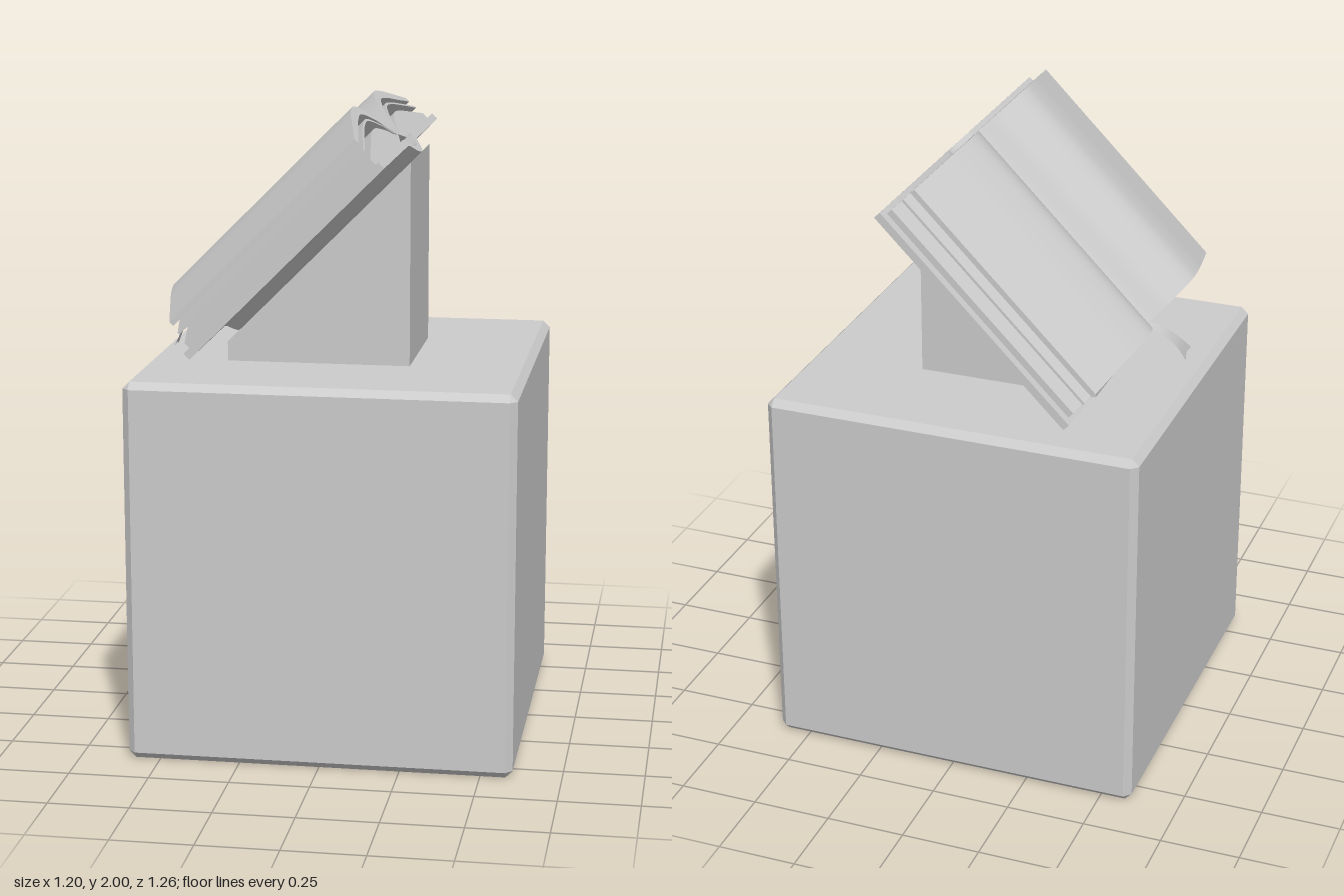
import * as THREE from 'three';
import { toCreasedNormals } from 'three/addons/utils/BufferGeometryUtils.js';
import { ConvexGeometry } from 'three/addons/geometries/ConvexGeometry.js';

const grey = new THREE.MeshStandardMaterial({ color: 0xcccccc });
const thin = new THREE.MeshStandardMaterial({ color: 0xcccccc, side: THREE.DoubleSide });

function addMesh(parent, name, geometry, material = grey) {
  const mesh = new THREE.Mesh(geometry, material);
  mesh.name = name;
  parent.add(mesh);
  return mesh;
}

const vec2 = (points) => points.map(([a, b]) => new THREE.Vector2(a, b));
const smooth = (points, n = 28) => new THREE.SplineCurve(vec2(points)).getPoints(n);

// Cube with every edge cut at 45 degrees
function chamferedBox(half, cut) {
  const points = [];
  const inner = half - cut;
  for (const x of [-1, 1]) for (const y of [-1, 1]) for (const z of [-1, 1]) {
    points.push(
      new THREE.Vector3(x * half, y * inner, z * inner),
      new THREE.Vector3(x * inner, y * half, z * inner),
      new THREE.Vector3(x * inner, y * inner, z * half));
  }
  return new ConvexGeometry(points);
}

// Extrudes a cross-section (z, height) along the book's length (x)
function alongBook(profile, length, side = 1) {
  const shape = new THREE.Shape(profile.map((p) => new THREE.Vector2(-side * p.x, p.y)));
  const geometry = new THREE.ExtrudeGeometry(shape, { depth: length, bevelEnabled: false });
  geometry.translate(0, 0, -length / 2).rotateY(Math.PI / 2);
  return toCreasedNormals(geometry, 0.6);
}

// Strip between a left and a right edge curve
function ribbonGeometry(left, right, n) {
  const curves = [left, right].map((e) =>
    new THREE.CatmullRomCurve3(e.map((p) => new THREE.Vector3(...p))));
  const positions = [], index = [];
  for (let i = 0; i <= n; i++) {
    const a = curves[0].getPoint(i / n), b = curves[1].getPoint(i / n);
    const mid = a.clone().lerp(b, 0.5);
    // forked tip
    if (i === n) mid.lerp(curves[0].getPoint(1 - 2 / n).lerp(curves[1].getPoint(1 - 2 / n), 0.5), 0.5);
    for (const p of [a, mid, b]) positions.push(p.x, p.y, p.z);
    if (i < n) for (const k of [0, 1]) {
      const j = i * 3 + k;
      index.push(j, j + 1, j + 3, j + 1, j + 4, j + 3);
    }
  }
  const geometry = new THREE.BufferGeometry();
  geometry.setAttribute('position', new THREE.Float32BufferAttribute(positions, 3));
  geometry.setIndex(index);
  geometry.computeVertexNormals();
  return geometry;
}

export function createModel() {
  const model = new THREE.Group();
  model.name = 'bookOnPedestal';

  // Pedestal block
  addMesh(model, 'pedestal', chamferedBox(0.6, 0.022)).position.y = 0.6;

  // Sloped support
  const wedge = new THREE.Shape(vec2([[-0.345, 1.2], [0.23, 1.2], [0.23, 1.835], [-0.345, 1.26]]));
  const wedgeGeometry = new THREE.ExtrudeGeometry(wedge, { depth: 0.456, bevelEnabled: false });
  addMesh(model, 'wedgeSupport', wedgeGeometry.translate(0, 0, -0.228));

  // Open book, built flat and then tilted
  const book = new THREE.Group();
  book.name = 'book';
  book.position.set(-0.0575, 1.5475, 0);
  book.rotation.z = Math.PI / 4;
  model.add(book);

  // Cover with a rounded spine dip
  const under = [[0.1, 0.042], [0.08, 0.036], [0.05, 0.014], [0.025, 0.003], [0, 0]];
  const half = [[0.628, 0.042], ...under];
  const bottom = [...half, ...half.slice(0, -1).reverse().map(([z, y]) => [-z, y])];
  const top = bottom.map(([z, y]) => [z, y + 0.025]).reverse();
  addMesh(book, 'cover', alongBook(vec2([...bottom, ...top]), 0.828));

  // Three layers of pages per side, fanning out of the gutter
  const layers = [
    ['lowerPages',
      [[0, 0.09], [0.05, 0.1], [0.1, 0.122], [0.2, 0.15], [0.3, 0.147], [0.42, 0.125], [0.6, 0.088]],
      [[0.6, 0.066], [0.07, 0.066]]],
    ['loosePage',
      [[0, 0.091], [0.05, 0.112], [0.1, 0.15], [0.2, 0.19], [0.3, 0.184], [0.42, 0.16], [0.575, 0.125]],
      [[0.575, 0.117], [0.42, 0.152], [0.3, 0.176], [0.2, 0.181], [0.1, 0.142], [0.05, 0.106], [0.004, 0.09]]],
    ['upperPages',
      [[0, 0.092], [0.04, 0.12], [0.1, 0.193], [0.2, 0.243], [0.3, 0.236], [0.42, 0.205], [0.56, 0.165]],
      [[0.56, 0.148], [0.42, 0.178], [0.3, 0.204], [0.2, 0.209], [0.1, 0.165], [0.05, 0.118], [0.004, 0.091]]],
  ];
  for (const side of [1, -1]) {
    for (const [name, upper, lower] of layers) {
      const profile = [...smooth(upper), ...(lower.length > 2 ? smooth(lower) : vec2(lower))];
      addMesh(book, (side > 0 ? 'left' : 'right') + name[0].toUpperCase() + name.slice(1),
        alongBook(profile, 0.795, side));
    }
  }

  // Ribbon bookmark lying in the gutter and hanging off the lower end
  const edgeA = [[0.4, 0.096, -0.004], [0.2, 0.115, -0.022], [0, 0.118, -0.026], [-0.2, 0.118, -0.024],
    [-0.38, 0.125, -0.012], [-0.45, 0.142, 0.015], [-0.515, 0.133, 0.048], [-0.57, 0.106, 0.085]];
  const edgeB = [[0.4, 0.096, 0.004], [0.2, 0.115, 0.016], [0, 0.118, 0.01], [-0.2, 0.118, 0.012],
    [-0.38, 0.125, 0.026], [-0.44, 0.142, 0.058], [-0.5, 0.135, 0.1], [-0.56, 0.108, 0.165]];
  addMesh(book, 'ribbonBookmark', ribbonGeometry(edgeA, edgeB, 40), thin);

  return model;
}
